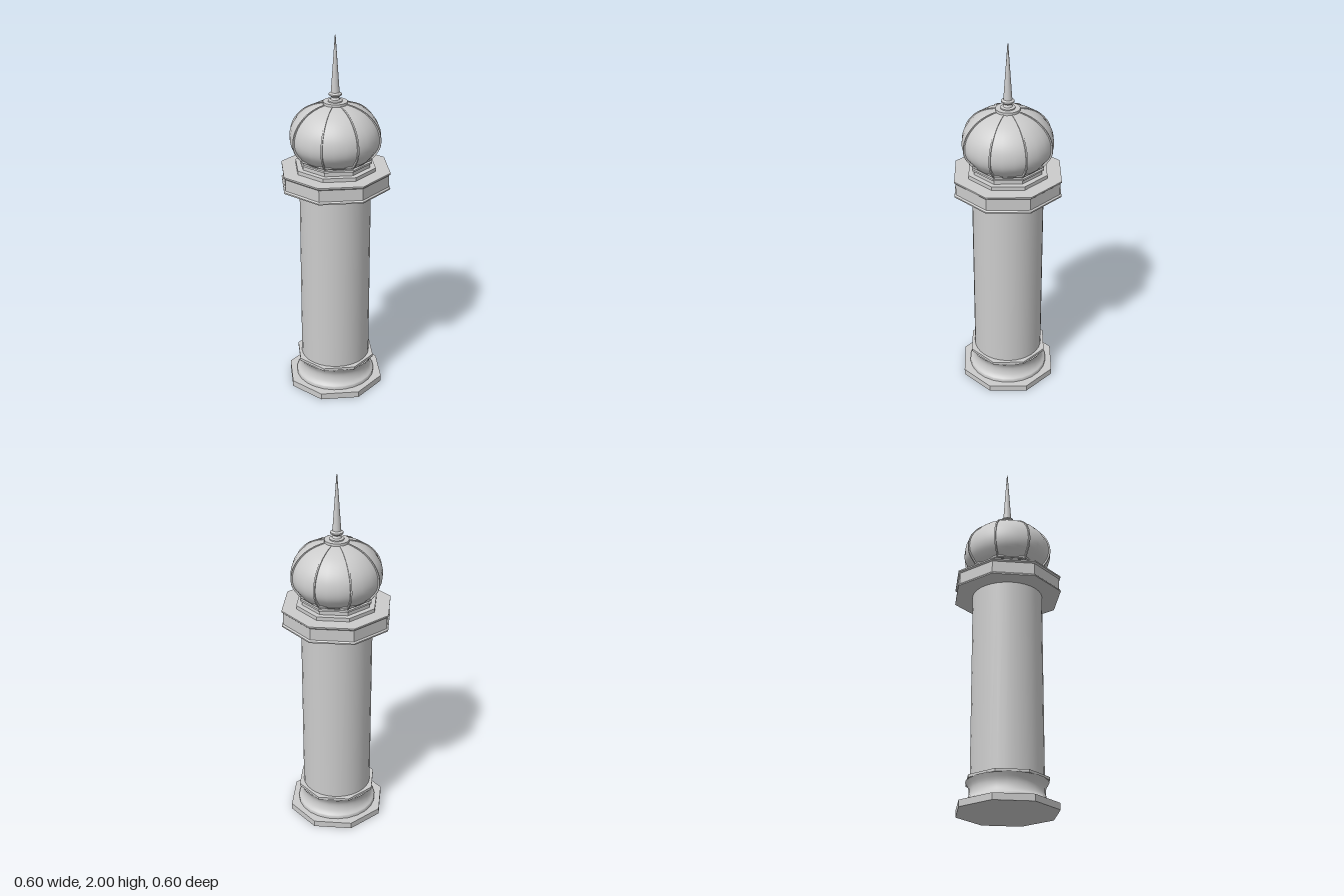
import * as THREE from 'three';

const V = (x, y) => new THREE.Vector2(x, y);

export function createModel() {
  const model = new THREE.Group();
  const smooth = new THREE.MeshStandardMaterial({ color: 0xcccccc });
  const faceted = new THREE.MeshStandardMaterial({ color: 0xcccccc, flatShading: true });

  const add = (name, geometry, material, y = 0) => {
    const mesh = new THREE.Mesh(geometry, material);
    mesh.name = name;
    mesh.position.y = y;
    model.add(mesh);
    return mesh;
  };
  // Octagonal slab with corners on the axes
  const slab = (name, r, y0, y1) =>
    add(name, new THREE.CylinderGeometry(r, r, y1 - y0, 8), faceted, (y0 + y1) / 2);
  const turned = (name, points, sides, material) =>
    add(name, new THREE.LatheGeometry(points.map(([r, y]) => V(r, y)), sides), material);

  // Base: plinth, cove moulding and collar
  slab('plinth', 0.272, 0, 0.035);
  const cove = new THREE.SplineCurve([
    V(0.22, 0.05), V(0.203, 0.068), V(0.194, 0.095), V(0.196, 0.125), V(0.213, 0.157),
  ]).getPoints(12).map((p) => [p.x, p.y]);
  turned('baseMoulding', [[0.22, 0.035], ...cove], 24, smooth);
  slab('baseCollar', 0.222, 0.155, 0.17);

  // Shaft
  add('shaft', new THREE.CylinderGeometry(0.19, 0.19, 1.06, 32), smooth, 0.7);

  // Gallery with a lip at top and bottom
  turned('gallery', [
    [0, 1.2], [0.3, 1.2], [0.3, 1.207], [0.292, 1.214],
    [0.292, 1.277], [0.3, 1.284], [0.3, 1.292], [0, 1.292],
  ], 8, faceted);

  // Stepped octagonal rings under the dome
  slab('lowerStep', 0.22, 1.29, 1.312);
  slab('upperStep', 0.19, 1.31, 1.335);
  slab('lowerRing', 0.2, 1.335, 1.345);
  slab('ringNeck', 0.183, 1.345, 1.355);
  slab('upperRing', 0.2, 1.355, 1.365);

  // Onion dome
  const domeCurve = new THREE.SplineCurve([
    V(0.175, 1.345), V(0.205, 1.38), V(0.231, 1.42), V(0.239, 1.465), V(0.23, 1.515),
    V(0.205, 1.56), V(0.165, 1.6), V(0.115, 1.627), V(0.06, 1.643),
  ]);
  const outline = domeCurve.getPoints(32);
  add('dome', new THREE.LatheGeometry(outline, 24), smooth);

  // Thin ribs following the dome, fading towards the crown
  const outer = outline.map((p, i) => {
    const t = domeCurve.getTangent(i / 32);
    const lift = 0.01 - 0.007 * (i / 32);
    return V(p.x + t.y * lift, p.y - t.x * lift);
  });
  const inner = outline.map((p) => V(p.x - 0.012, p.y - 0.004)).reverse();
  const ribGeometry = new THREE.ExtrudeGeometry(new THREE.Shape([...outer, ...inner]), {
    depth: 0.008, bevelEnabled: false,
  });
  ribGeometry.translate(0, 0, -0.004);
  for (let i = 0; i < 8; i++) {
    const rib = add('domeRib', ribGeometry, faceted);
    rib.rotation.y = (i * Math.PI) / 4;
  }

  // Crown disc and finial
  add('crownDisc', new THREE.CylinderGeometry(0.064, 0.064, 0.016, 24), smooth, 1.648);
  turned('finialBase', [
    [0.038, 1.655], [0.038, 1.662], [0.024, 1.666], [0.018, 1.678],
    [0.034, 1.69], [0.034, 1.697], [0.023, 1.704], [0, 1.706],
  ], 24, faceted);
  add('finialSpike', new THREE.CylinderGeometry(0.002, 0.023, 0.3, 16), smooth, 1.85);

  return model;
}
